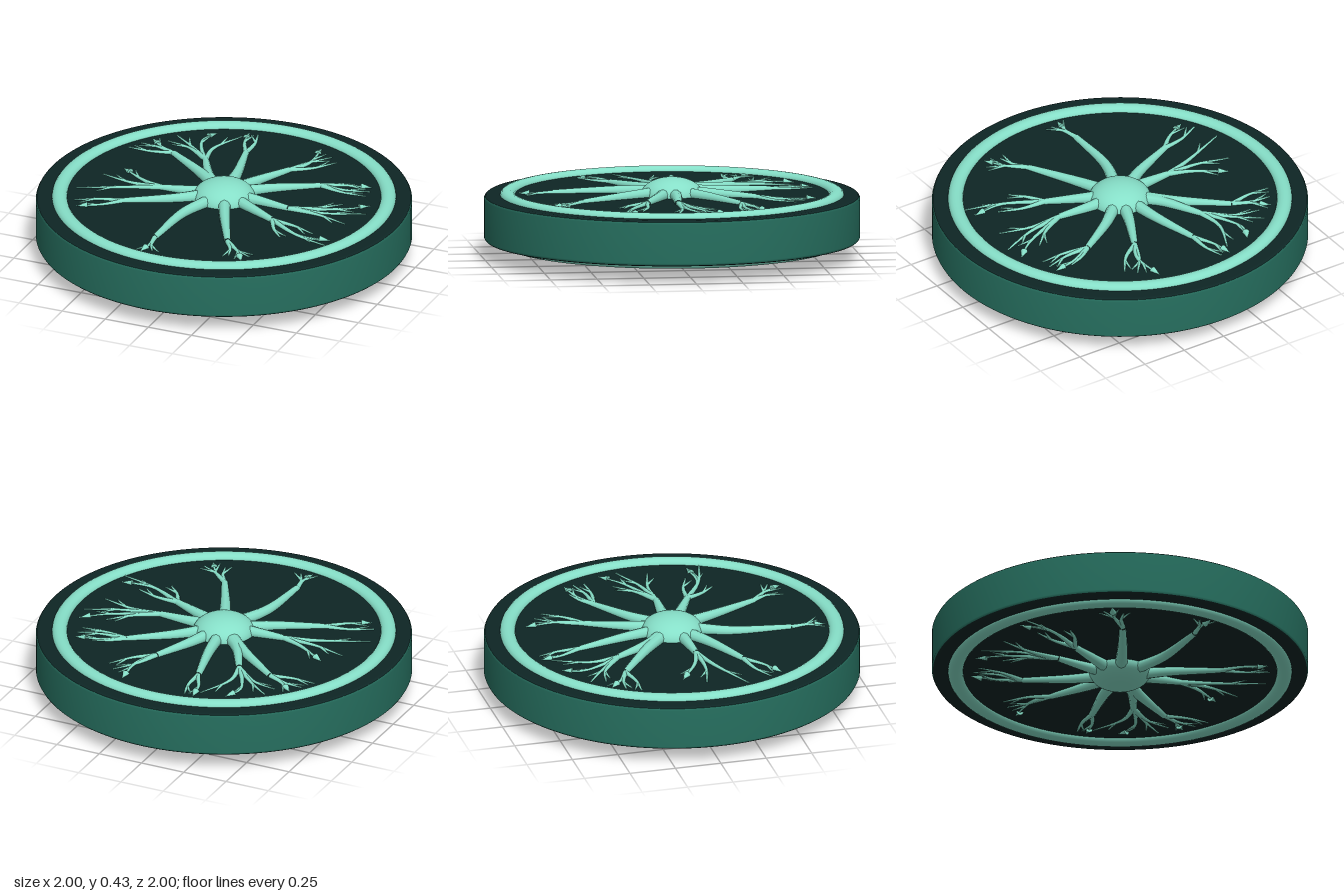
import * as THREE from 'three';

const MID = 0.215;   // mid height of the disc
const FACE = 0.122;  // face height above the middle

const mint = new THREE.MeshStandardMaterial({ color: 0x86dfc8 });
const green = new THREE.MeshStandardMaterial({ color: 0x266f5f });
const dark = new THREE.MeshStandardMaterial({ color: 0x0e2625 });
mint.name = 'mint';
green.name = 'green';
dark.name = 'dark teal';

function add(parent, name, geometry, material) {
  const mesh = new THREE.Mesh(geometry, material);
  mesh.name = name;
  parent.add(mesh);
  return mesh;
}

const lathe = (pts) =>
  new THREE.LatheGeometry(pts.map(([r, y]) => new THREE.Vector2(r, y)), 128);

// Point on the face; branches sink slightly as they leave the cell body
const onFace = (x, z) =>
  new THREE.Vector3(x, FACE + 0.016 * Math.max(0, 1 - Math.hypot(x, z) / 0.6), z);

const smooth = (points) => new THREE.CatmullRomCurve3(points, false, 'centripetal');

// Tube along a curve, narrowing from r0 to r1
function taperedTube(curve, r0, r1) {
  const segs = 16, sides = 10;
  const geo = new THREE.TubeGeometry(curve, segs, 1, sides, false);
  const pos = geo.attributes.position, v = new THREE.Vector3();
  for (let i = 0; i <= segs; i++) {
    const c = curve.getPointAt(i / segs);
    const r = THREE.MathUtils.lerp(r0, r1, i / segs);
    for (let j = 0; j <= sides; j++) {
      const k = i * (sides + 1) + j;
      v.fromBufferAttribute(pos, k).sub(c).multiplyScalar(r).add(c);
      pos.setXYZ(k, v.x, v.y, v.z);
    }
  }
  return geo;
}

// Each dendrite: fork x, z, sideways bend of the trunk, then twig paths from the fork
const dendrites = [
  [-0.11, -0.54, 0.02, [-0.17, -0.66, -0.19, -0.76], [-0.14, -0.77]],
  [-0.27, -0.37, -0.06, [-0.34, -0.48, -0.385, -0.6, -0.35, -0.7], [-0.29, -0.52, -0.21, -0.72],
    [-0.41, -0.5, -0.53, -0.59], [-0.42, -0.48, -0.55, -0.51]],
  [-0.46, -0.38, 0.02, [-0.62, -0.49], [-0.67, -0.43], [-0.71, -0.355]],
  [-0.33, 0.045, -0.02, [-0.45, 0.005, -0.62, -0.1], [-0.48, 0.095, -0.76, 0.22], [-0.7, 0.005]],
  [-0.46, 0.27, -0.03, [-0.66, 0.42], [-0.71, 0.36]],
  [-0.13, 0.62, 0.07, [-0.13, 0.79], [-0.075, 0.78]],
  [0.245, 0.51, 0.01, [0.4, 0.69], [0.43, 0.64], [0.32, 0.67]],
  [0.36, 0.18, 0, [0.56, 0.29, 0.74, 0.28], [0.56, 0.295, 0.77, 0.355], [0.62, 0.24], [0.48, 0.35]],
  [0.38, 0.015, -0.02, [0.64, -0.1, 0.76, -0.2], [0.78, -0.1], [0.73, 0.06], [0.62, -0.16]],
  [0.42, -0.32, -0.03, [0.67, -0.41], [0.69, -0.36], [0.58, -0.41], [0.69, -0.3]],
  [0.19, -0.43, -0.02, [0.25, -0.55, 0.24, -0.74], [0.29, -0.5, 0.38, -0.62], [0.33, -0.67]],
];

const UP = new THREE.Vector3(0, 1, 0);

function makeDendrite([fx, fz, bend, ...twigs]) {
  const group = new THREE.Group();
  group.name = 'dendrite';

  // Trunk leaves the cell body towards its bent midpoint
  const fork = onFace(fx, fz);
  const mid = onFace(fx / 2 - bend * fz, fz / 2 + bend * fx);
  const s = 0.13 / Math.hypot(mid.x, mid.z);
  const trunk = smooth([onFace(mid.x * s, mid.z * s), mid, fork]);
  add(group, 'trunk', taperedTube(trunk, 0.034, 0.018), mint);

  twigs.forEach((path, i) => {
    const points = [fork];
    for (let k = 0; k < path.length; k += 2) points.push(onFace(path[k], path[k + 1]));
    // Straight twigs get a slight bow, alternating sides
    const side = i % 2 ? 1 : -1;
    if (points.length === 2) {
      const [a, b] = points;
      const bow = 0.06 * side;
      points.splice(1, 0, onFace((a.x + b.x) / 2 - bow * (b.z - a.z), (a.z + b.z) / 2 + bow * (b.x - a.x)));
    }
    const curve = smooth(points);
    add(group, 'twig', taperedTube(curve, 0.015, 0.004), mint);

    // Short spur splitting off each twig
    const root = curve.getPointAt(0.6);
    const dir = curve.getTangentAt(0.6).applyAxisAngle(UP, 0.45 * side);
    const end = onFace(root.x + dir.x * 0.09, root.z + dir.z * 0.09);
    add(group, 'spur', taperedTube(new THREE.LineCurve3(root, end), 0.009, 0.003), mint);

    // Pointed tip on the first twig
    if (i === 0) {
      const tip = add(group, 'twigTip', new THREE.ConeGeometry(0.02, 0.06, 10), mint);
      tip.position.copy(curve.getPointAt(0.93));
      tip.quaternion.setFromUnitVectors(UP, curve.getTangentAt(0.93));
    }
  });
  return group;
}

// Everything on one face of the disc
function makeSide() {
  const side = new THREE.Group();
  add(side, 'darkFace', lathe([[0.994, 0.115], [0.988, 0.12], [0.978, FACE], [0, FACE]]), dark);

  const ring = add(side, 'raisedRing', new THREE.TorusGeometry(0.874, 0.041, 16, 128), mint);
  ring.rotation.x = Math.PI / 2;
  ring.scale.z = 0.75;
  ring.position.y = FACE - 0.003;

  const body = add(side, 'cellBody', new THREE.SphereGeometry(0.165, 48, 32), mint);
  body.scale.y = 0.57;
  body.position.y = FACE - 0.001;

  for (const d of dendrites) side.add(makeDendrite(d));
  return side;
}

export function createModel() {
  const model = new THREE.Group();
  model.name = 'neuronDisc';

  // Disc rim with eased edges
  const rim = add(model, 'rim', lathe([[0.994, -0.115], [1, -0.104], [1, 0.104], [0.994, 0.115]]), green);
  rim.position.y = MID;

  // Same face on top and, turned over, underneath
  ['topSide', 'bottomSide'].forEach((name, i) => {
    const side = makeSide();
    side.name = name;
    side.position.y = MID;
    side.rotation.z = i * Math.PI;
    model.add(side);
  });
  return model;
}
